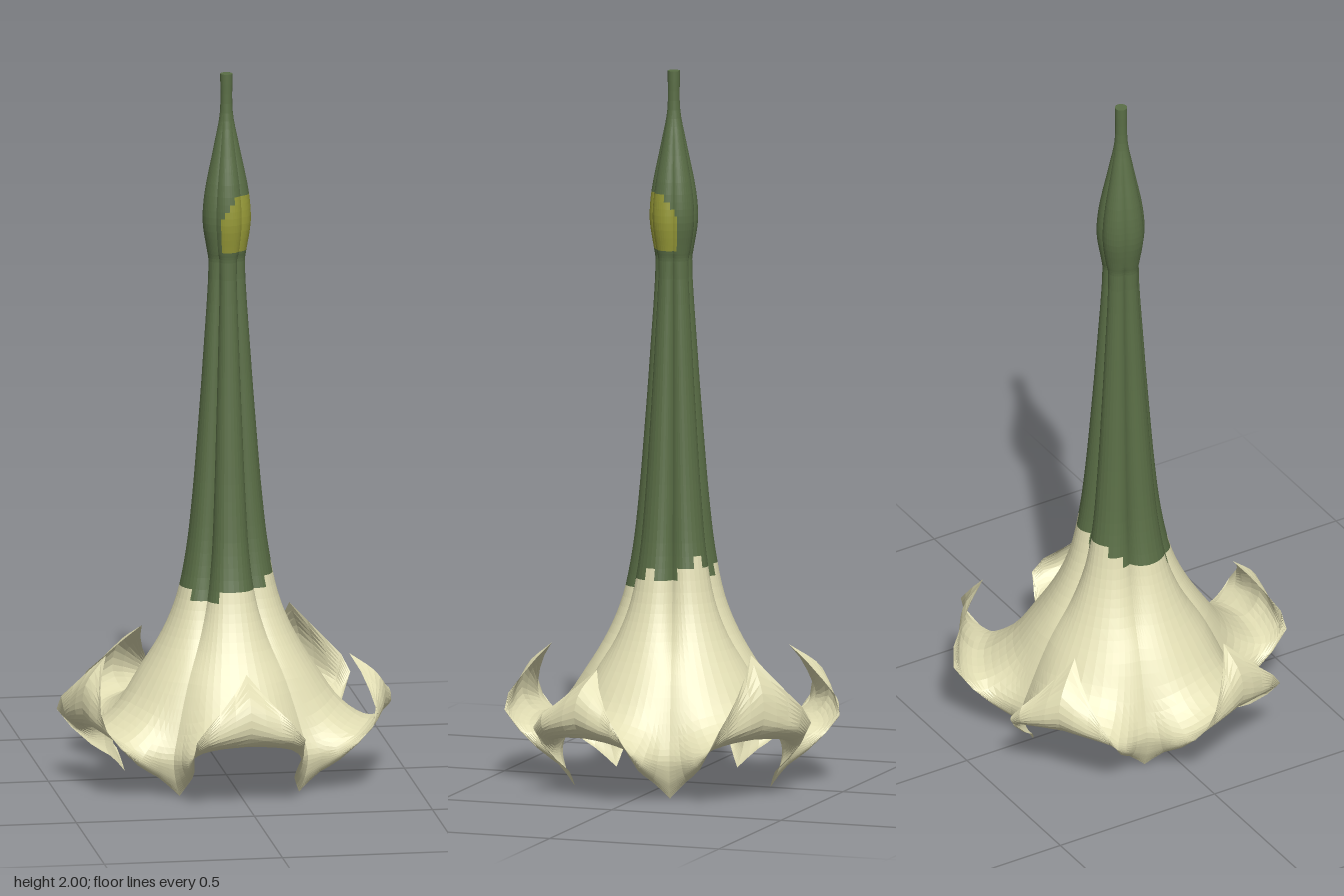
import * as THREE from 'three';

const PETALS = 5;
const ROW_STEPS = 4;   // rows between two profile points
const HALF_COLS = 10;  // columns from petal middle to groove
const U = [0, 0.35, 0.6, 0.8, 0.9, 1]; // sections: petal middle ... groove
const DEG = Math.PI / 180;

// stem, calyx and fluted tube: [height, ridge radius, groove depth]
const TUBE = [
  [2, 0.017, 0], [1.89, 0.018, 0], [1.8, 0.035, 0.1], [1.66, 0.063, 0.12],
  [1.58, 0.068, 0.12], [1.5, 0.056, 0.12], [1.47, 0.052, 0.2], [1.2, 0.068, 0.25],
  [1.0, 0.083, 0.25], [0.8, 0.1, 0.25], [0.65, 0.118, 0.25], [0.52, 0.145, 0.2],
  [0.42, 0.185, 0.13], [0.31, 0.25, 0.07],
];

// flared mouth, one row per step towards the rim: [degrees, radius, height] for each section
const FLARE = [
  [[0, 0.32, 0.22], [12, 0.32, 0.212], [20, 0.32, 0.2], [27, 0.312, 0.185], [31.5, 0.303, 0.18], [36, 0.295, 0.178]],
  [[0, 0.4, 0.174], [10.5, 0.4, 0.168], [18, 0.4, 0.156], [25.3, 0.368, 0.128], [30.5, 0.337, 0.113], [36, 0.32, 0.11]],
  [[0, 0.445, 0.22], [10.7, 0.45, 0.2], [18.8, 0.445, 0.172], [24.6, 0.38, 0.108], [29.4, 0.335, 0.08], [36, 0.311, 0.055]],
  [[0, 0.435, 0.3], [10.8, 0.448, 0.245], [19, 0.462, 0.188], [23.6, 0.379, 0.098], [28.2, 0.328, 0.062], [36, 0.298, 0.025]],
  [[0, 0.36, 0.37], [10.7, 0.432, 0.28], [18.9, 0.47, 0.2], [22.6, 0.375, 0.093], [27.2, 0.32, 0.053], [36, 0.285, 0]],
];

// how far each petal tip curls beyond the common shape: [radius, height]
const TIP_SHIFT = [[0, 0], [0.015, 0.01], [-0.028, 0], [0.024, 0.04], [-0.015, -0.01]];

// lengthwise curve of one section, in (angle, radius, height)
function sectionCurve(u, s) {
  const points = TUBE.map(([y, r, d]) =>
    new THREE.Vector3(u * 36 * DEG, r * (1 - d * u ** 2.5), y));
  for (const row of FLARE) {
    const [a, r, y] = row[s];
    points.push(new THREE.Vector3(a * DEG, r, y));
  }
  return new THREE.CatmullRomCurve3(points);
}

// grid of points: rows run from stem to rim, columns go round the flower
function buildGrid() {
  const curves = U.map(sectionCurve);
  const rows = (TUBE.length + FLARE.length - 1) * ROW_STEPS;
  const grid = [];
  for (let i = 0; i <= rows; i++) {
    const across = new THREE.CatmullRomCurve3(curves.map((c) => c.getPoint(i / rows)));
    const curl = Math.max(0, 1 - (rows - i) / (2 * ROW_STEPS)) ** 2;
    const ring = [];
    for (let k = 0; k < PETALS; k++) {
      for (let j = -HALF_COLS; j < HALF_COLS; j++) {
        const t = Math.abs(j) / HALF_COLS;
        const p = across.getPoint(t);
        const w = curl * (1 - t) ** 2;
        const r = p.y + w * TIP_SHIFT[k][0];
        const y = Math.max(p.z + w * TIP_SHIFT[k][1], 0);
        const a = (90 + 72 * k) * DEG + Math.sign(j) * p.x;
        ring.push(new THREE.Vector3(r * Math.cos(a), y, r * Math.sin(a)));
      }
    }
    grid.push(ring);
  }
  return grid;
}

// which part a face belongs to, from its centre
function partAt(p) {
  const az = Math.atan2(p.z, p.x) / DEG;
  const off = (((az - 40) % 360) + 540) % 360 - 180;
  if (p.y > 1.5 && Math.abs(off) < 70 && p.y < 1.67 - 0.08 * (off / 70) ** 2) return 'calyxPatch';
  const edge = 0.575 + 0.045 * Math.cos((az + 60) * DEG) + 0.015 * Math.sin(az * 5 * DEG);
  return p.y > edge ? 'greenTube' : 'trumpet';
}

export function createModel() {
  const group = new THREE.Group();
  group.name = 'trumpetFlower';
  const material = (name, color) => {
    const m = new THREE.MeshStandardMaterial({ color, side: THREE.DoubleSide });
    m.name = name;
    return m;
  };
  const materials = {
    greenTube: material('leaf green', 0x5a6e46),
    calyxPatch: material('olive yellow', 0x979a38),
    trumpet: material('cream', 0xe2deb4),
  };

  // sort the faces of the flower surface into parts
  const parts = { greenTube: [], calyxPatch: [], trumpet: [] };
  const grid = buildGrid();
  const cols = grid[0].length;
  for (let i = 0; i < grid.length - 1; i++) {
    for (let j = 0; j < cols; j++) {
      const n = (j + 1) % cols;
      const a = grid[i][j], b = grid[i][n], c = grid[i + 1][n], d = grid[i + 1][j];
      const centre = a.clone().add(b).add(c).add(d).multiplyScalar(0.25);
      const list = parts[partAt(centre)];
      for (const p of [a, b, d, b, c, d]) list.push(p.x, p.y, p.z);
    }
  }

  // unshared corners give faceted normals
  for (const [name, positions] of Object.entries(parts)) {
    const geometry = new THREE.BufferGeometry();
    geometry.setAttribute('position', new THREE.Float32BufferAttribute(positions, 3));
    geometry.computeVertexNormals();
    const mesh = new THREE.Mesh(geometry, materials[name]);
    mesh.name = name;
    group.add(mesh);
  }

  // cut end of the stem
  const cap = new THREE.Mesh(new THREE.CircleGeometry(0.017, 20), materials.greenTube);
  cap.name = 'stemEnd';
  cap.rotation.x = -Math.PI / 2;
  cap.position.y = 2;
  group.add(cap);

  return group;
}
